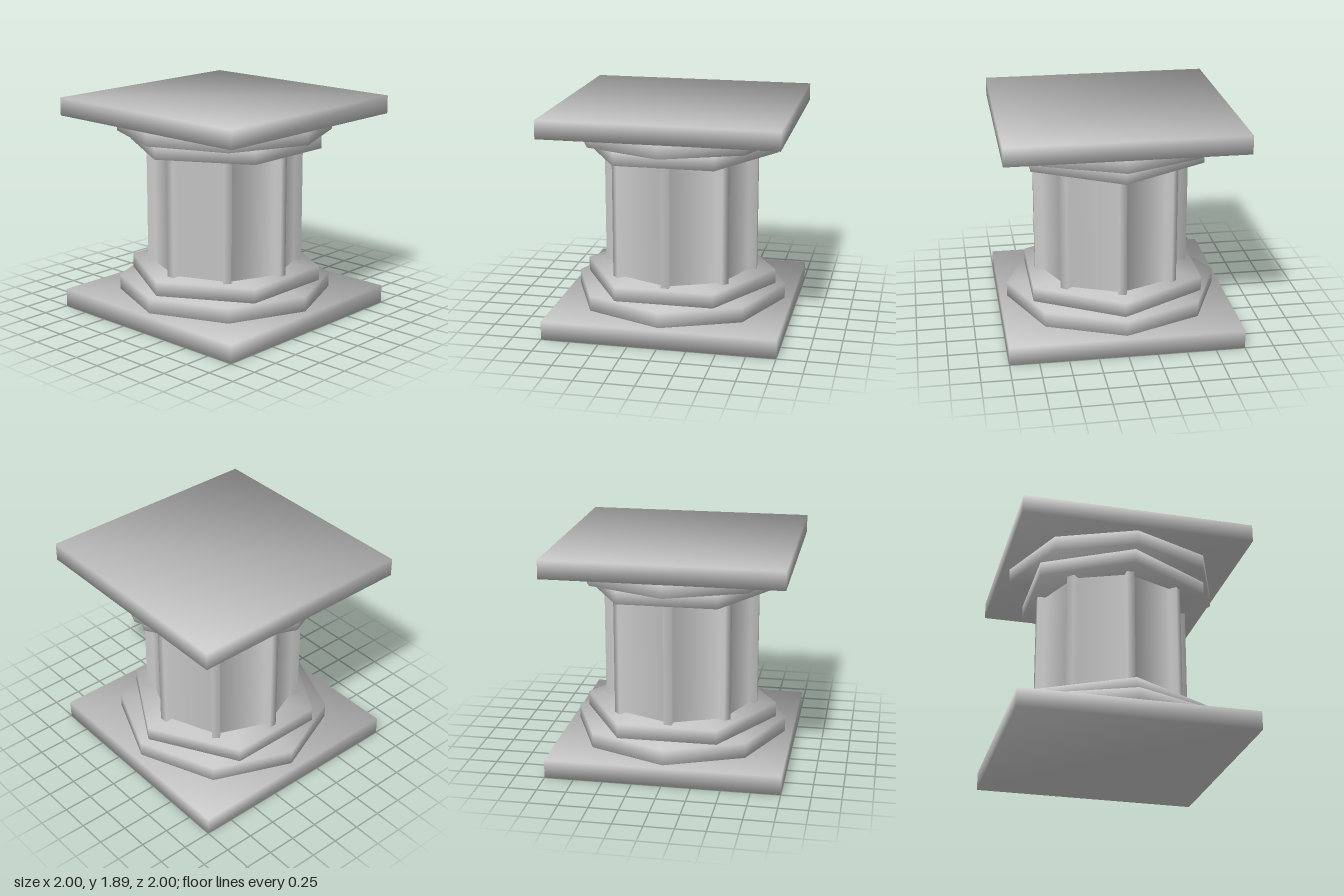
import * as THREE from 'three';
import { mergeVertices } from 'three/addons/utils/BufferGeometryUtils.js';

// Weld a prism and give its corners evenly blended normals, so edges shade softly
function soften(geometry, sides) {
  geometry.deleteAttribute('uv');
  geometry.deleteAttribute('normal');
  const g = mergeVertices(geometry, 1e-4);
  const pos = g.attributes.position;
  const normals = [];
  const n = new THREE.Vector3();
  for (let i = 0; i < pos.count; i++) {
    n.set(pos.getX(i), 0, pos.getZ(i));
    if (n.length() > 1e-4) n.setLength(2 * Math.cos(Math.PI / sides));
    n.y = Math.sign(pos.getY(i));
    n.normalize();
    normals.push(n.x, n.y, n.z);
  }
  g.setAttribute('normal', new THREE.Float32BufferAttribute(normals, 3));
  return g;
}

// Open fluted tube: eight ribs joined by flat panels
function flutedShaft(y0, y1) {
  const ribs = 8, outer = 0.68, inner = 0.61, half = 0.035;
  const ring = [];
  for (let k = 0; k < ribs; k++) {
    const a = (k / ribs) * Math.PI * 2, s = Math.sin(a), c = Math.cos(a);
    for (const [r, t] of [[inner, -half], [outer, -half], [outer, half], [inner, half]]) {
      ring.push(new THREE.Vector2(r * s + t * c, r * c - t * s));
    }
  }
  const count = ring.length;
  const edgeNormal = (i) => {
    const e = ring[(i + 1) % count].clone().sub(ring[i % count]).normalize();
    return new THREE.Vector2(-e.y, e.x);
  };
  const positions = [], normals = [], index = [];
  ring.forEach((p, i) => {
    const n = edgeNormal(i).add(edgeNormal(i + count - 1)).normalize();
    positions.push(p.x, y0, p.y, p.x, y1, p.y);
    normals.push(n.x, 0, n.y, n.x, 0, n.y);
    const a = 2 * i, b = 2 * ((i + 1) % count);
    index.push(a, b, b + 1, a, b + 1, a + 1);
  });
  const g = new THREE.BufferGeometry();
  g.setAttribute('position', new THREE.Float32BufferAttribute(positions, 3));
  g.setAttribute('normal', new THREE.Float32BufferAttribute(normals, 3));
  g.setIndex(index);
  return g;
}

export function createModel() {
  const group = new THREE.Group();
  const stone = new THREE.MeshStandardMaterial({ color: 0xcccccc });
  stone.name = 'stone';

  const add = (name, geometry, y = 0) => {
    const mesh = new THREE.Mesh(geometry, stone);
    mesh.name = name;
    mesh.position.y = y;
    group.add(mesh);
  };
  const slab = (name, y0, y1) =>
    add(name, soften(new THREE.BoxGeometry(2, y1 - y0, 2), 4), (y0 + y1) / 2);
  const tier = (name, sides, radius, y0, y1) =>
    add(name, soften(new THREE.CylinderGeometry(radius, radius, y1 - y0, sides), sides), (y0 + y1) / 2);

  // Base
  slab('baseSlab', 0, 0.16);
  tier('baseOctagon', 8, 0.935, 0.16, 0.293);
  tier('baseHexagon', 6, 0.85, 0.293, 0.418);

  // Column
  add('flutedShaft', flutedShaft(0.41, 1.49));

  // Capital
  tier('capitalHexagon', 6, 0.85, 1.48, 1.605);
  tier('capitalOctagon', 8, 0.935, 1.605, 1.738);
  slab('topSlab', 1.738, 1.895);

  return group;
}
